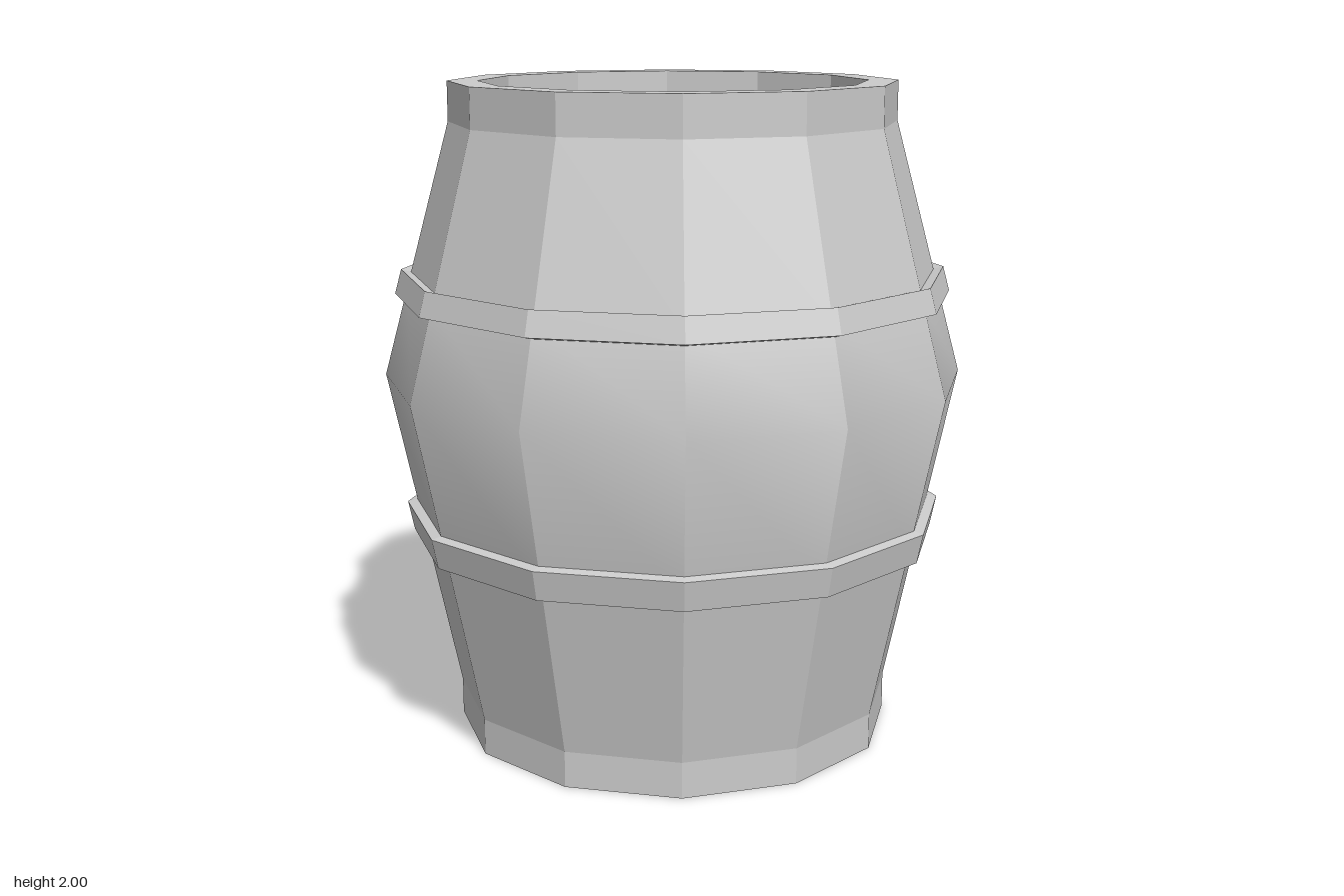
import * as THREE from 'three';
import { toCreasedNormals } from 'three/addons/utils/BufferGeometryUtils.js';

const SIDES = 12;
const BELLY_Y = 1.11, BELLY_R = 0.885, RIM_R = 0.675;
const LOW_Y = 0.11, HIGH_Y = 1.88, INNER_R = 0.585, RECESS = 0.1;

// Radius of the staves at height y
function radiusAt(y) {
  const end = y < BELLY_Y ? LOW_Y : HIGH_Y;
  return THREE.MathUtils.lerp(BELLY_R, RIM_R, (y - BELLY_Y) / (end - BELLY_Y));
}

export function createModel() {
  const barrel = new THREE.Group();
  barrel.name = 'barrel';
  const flat = new THREE.MeshStandardMaterial({ color: 0xcccccc, flatShading: true });
  const smooth = new THREE.MeshStandardMaterial({ color: 0xcccccc });

  const spin = (profile) =>
    new THREE.LatheGeometry(profile.map(([r, y]) => new THREE.Vector2(r, y)), SIDES);
  const add = (name, geometry, material = flat) => {
    const mesh = new THREE.Mesh(geometry, material);
    mesh.name = name;
    barrel.add(mesh);
  };

  // Staves: lower and upper ends, split from the belly beneath the hoops
  const lowCut = 0.66, highCut = 1.39;
  add('lowerStaves', spin([
    [0, RECESS], [INNER_R, RECESS], [INNER_R, 0], [RIM_R, 0],
    [RIM_R, LOW_Y], [radiusAt(lowCut), lowCut],
  ]));
  add('upperStaves', spin([
    [radiusAt(highCut), highCut], [RIM_R, HIGH_Y], [RIM_R, 2],
    [INNER_R, 2], [INNER_R, 2 - RECESS], [0, 2 - RECESS],
  ]));

  // Belly: soft across its widest ring, sharp between staves
  const belly = spin([lowCut, BELLY_Y, highCut].map((y) => [radiusAt(y), y]));
  add('bellyStaves', toCreasedNormals(belly, THREE.MathUtils.degToRad(27.6)), smooth);

  // Hoops: bands raised square to the slope of the staves
  const addHoop = (name, y0, y1, lift) => {
    const r0 = radiusAt(y0), r1 = radiusAt(y1);
    add(name, spin([[r0, y0], [r0 + 0.03, y0 + lift], [r1 + 0.03, y1 + lift], [r1, y1]]));
  };
  addHoop('lowerHoop', 0.62, 0.71, -0.007);
  addHoop('upperHoop', 1.353, 1.427, 0.008);

  return barrel;
}
